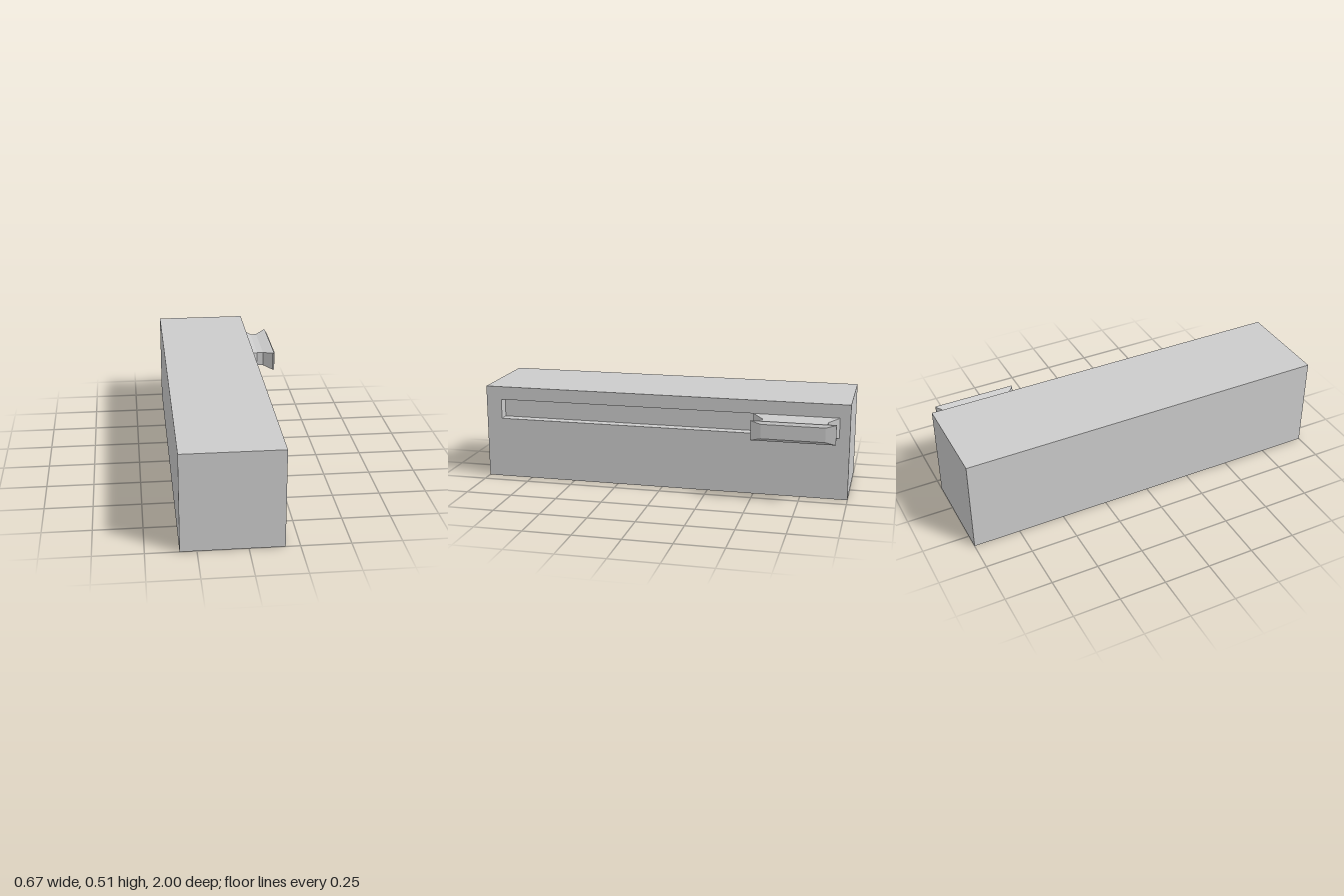
import * as THREE from 'three';

const grey = new THREE.MeshStandardMaterial({ color: 0xcccccc, flatShading: true });

function addMesh(group, name, geometry) {
  const mesh = new THREE.Mesh(geometry, grey);
  mesh.name = name;
  group.add(mesh);
  return mesh;
}

function rectangle(target, u0, u1, v0, v1) {
  target.moveTo(u0, v0);
  target.lineTo(u1, v0);
  target.lineTo(u1, v1);
  target.lineTo(u0, v1);
  target.closePath();
  return target;
}

// Joins rectangular sections [x, halfHeight, halfLength] along x, closed at both ends
function loftSections(sections) {
  const positions = [];
  const rings = sections.map(([x, h, l]) => [[x, -h, l], [x, -h, -l], [x, h, -l], [x, h, l]]);
  const quad = (a, b, c, d) => positions.push(...a, ...b, ...c, ...a, ...c, ...d);
  for (let i = 0; i < rings.length - 1; i++) {
    for (let k = 0; k < 4; k++) {
      const n = (k + 1) % 4;
      quad(rings[i][k], rings[i][n], rings[i + 1][n], rings[i + 1][k]);
    }
  }
  quad(...rings[0].slice().reverse());
  quad(...rings[rings.length - 1]);
  const geometry = new THREE.BufferGeometry();
  geometry.setAttribute('position', new THREE.Float32BufferAttribute(positions, 3));
  geometry.computeVertexNormals();
  return geometry;
}

export function createModel() {
  const model = new THREE.Group();
  model.name = 'slideSwitch';

  const left = 0.177, right = -0.333, height = 0.513, depth = 0.057;
  const inner = left - depth;

  // Solid block behind the slot
  const block = addMesh(model, 'housingBlock', new THREE.BoxGeometry(inner - right, height, 2));
  block.position.set((inner + right) / 2, height / 2, 0);

  // Side layer with the long slot cut through it
  const side = rectangle(new THREE.Shape(), -1, 1, 0, height);
  side.holes.push(rectangle(new THREE.Path(), -0.915, 0.915, 0.333, 0.441));
  const sideGeometry = new THREE.ExtrudeGeometry(side, { depth, bevelEnabled: false });
  sideGeometry.rotateY(Math.PI / 2);
  addMesh(model, 'slottedSide', sideGeometry).position.x = inner;

  // Waisted slider with a flared, bevelled grip
  const slider = addMesh(model, 'sliderKnob', loftSections([
    [inner, 0.054, 0.225],
    [0.177, 0.054, 0.225],
    [0.228, 0.04, 0.17],
    [0.263, 0.04, 0.17],
    [0.315, 0.052, 0.219],
    [0.323, 0.052, 0.219],
    [0.333, 0.038, 0.165],
  ]));
  slider.position.set(0, 0.387, -0.72);

  return model;
}
